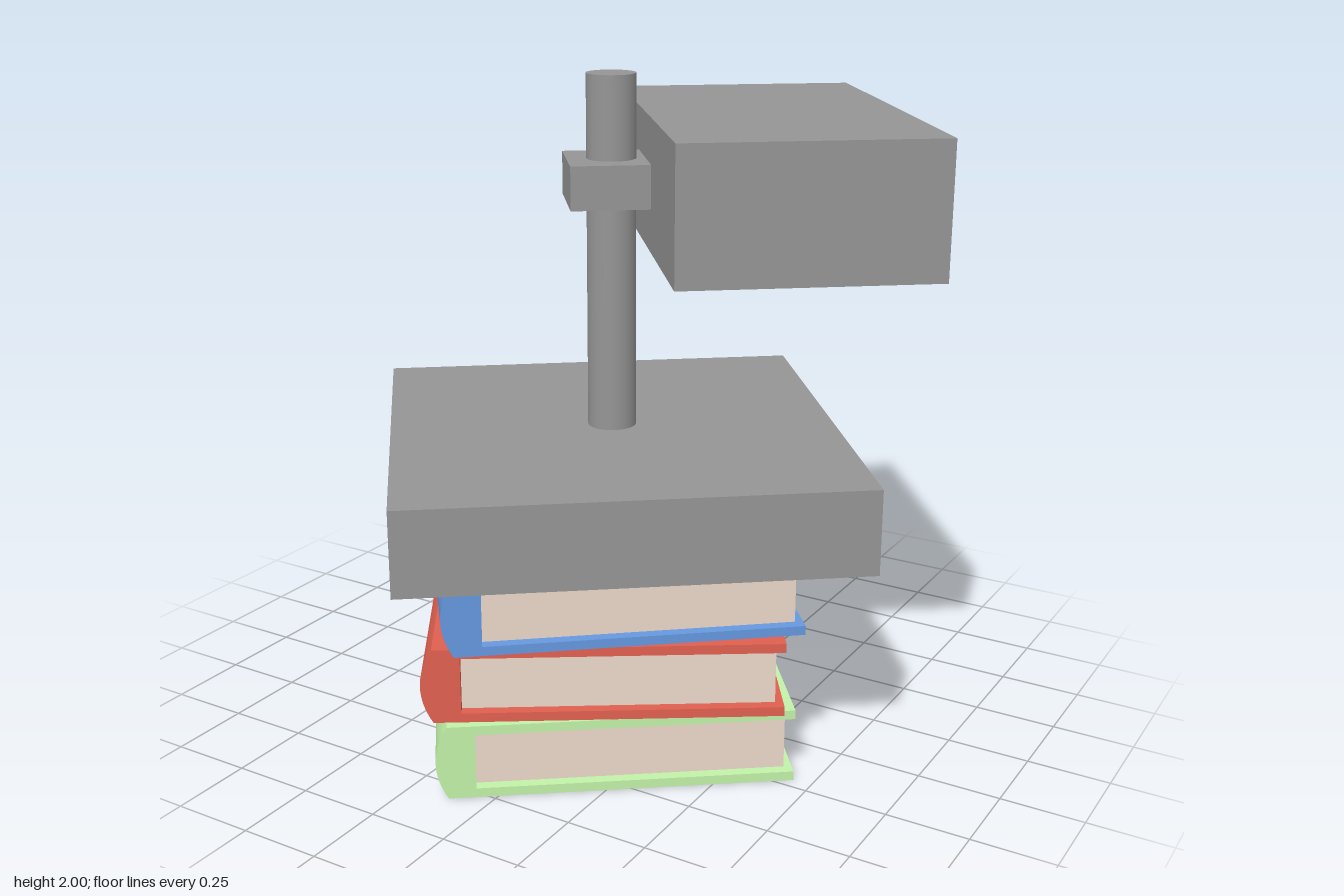
import * as THREE from 'three';
import { toCreasedNormals } from 'three/addons/utils/BufferGeometryUtils.js';

const paint = (color) => new THREE.MeshStandardMaterial({ color });
const darkGrey = paint(0x959595);
const paper = paint(0xecd8ca);

function add(parent, name, geometry, material, x = 0, y = 0, z = 0) {
  const mesh = new THREE.Mesh(geometry, material);
  mesh.name = name;
  mesh.position.set(x, y, z);
  parent.add(mesh);
  return mesh;
}

// Closed hardback: rounded spine on -x, two covers, page block inset on three sides
function makeBook(name, color) {
  const book = new THREE.Group();
  book.name = name;
  const material = paint(color);
  const w = 1.01, h = 0.228, d = 1.217;
  const cover = 0.028, spine = 0.08, foreInset = 0.024, endInset = 0.033;
  const left = -w / 2, inner = left + spine;

  const profile = new THREE.Shape();
  profile.moveTo(inner, 0);
  profile.lineTo(inner, h);
  profile.lineTo(left, h);
  profile.quadraticCurveTo(left - 0.07, h / 2, left, 0);
  profile.closePath();
  const spineGeometry = new THREE.ExtrudeGeometry(profile, { depth: d, bevelEnabled: false, curveSegments: 16 });
  add(book, 'spine', toCreasedNormals(spineGeometry, 0.5), material, 0, 0, -d / 2);

  for (const [part, y] of [['bottomCover', cover / 2], ['topCover', h - cover / 2]]) {
    add(book, part, new THREE.BoxGeometry(w - spine, cover, d), material, spine / 2, y, 0);
  }
  const pageWidth = w - spine - foreInset;
  add(book, 'pages', new THREE.BoxGeometry(pageWidth, h - 2 * cover, d - 2 * endInset), paper,
    inner + pageWidth / 2, h / 2, 0);
  return book;
}

// Head box with a round recess in its +z face, holding a dark lens
function makeHead() {
  const head = new THREE.Group();
  head.name = 'projectorHead';
  const w = 1.22, h = 0.393, d = 0.75, recess = 0.065;
  const lensX = 0.36, lensY = 0.013, lensR = 0.128;

  const face = new THREE.Shape();
  face.moveTo(-w / 2, -h / 2);
  face.lineTo(w / 2, -h / 2);
  face.lineTo(w / 2, h / 2);
  face.lineTo(-w / 2, h / 2);
  face.closePath();
  const hole = new THREE.Path();
  hole.absarc(lensX, lensY, lensR, 0, Math.PI * 2, true);
  face.holes.push(hole);
  const plate = new THREE.ExtrudeGeometry(face, { depth: recess, bevelEnabled: false, curveSegments: 32 });
  add(head, 'lensPlate', toCreasedNormals(plate, 0.5), darkGrey, 0, 0, d / 2 - recess);
  add(head, 'housing', new THREE.BoxGeometry(w, h, d - recess), darkGrey, 0, 0, -recess / 2);
  add(head, 'lens', new THREE.CircleGeometry(lensR, 32), paint(0x151f4e), lensX, lensY, d / 2 - recess + 0.002);
  return head;
}

export function createModel() {
  const model = new THREE.Group();
  model.name = 'projectorOnBooks';

  // Stack of books, each turned a little differently
  const books = [
    ['lowerBook', 0xc2f2a8, 0.645],
    ['middleBook', 0xe0604f, 0.583],
    ['upperBook', 0x6699e0, 0.69],
  ];
  books.forEach(([name, color, turn], i) => {
    const book = makeBook(name, color);
    book.position.set(-0.077, i * 0.2285, 0.03);
    book.rotation.y = turn;
    model.add(book);
  });

  // Stand: base slab, pole, clamp and head share one heading
  const stand = new THREE.Group();
  stand.name = 'stand';
  stand.position.set(-0.048, 0, 0.023);
  stand.rotation.y = 0.66;
  model.add(stand);
  add(stand, 'base', new THREE.BoxGeometry(1.358, 0.257, 1.358), darkGrey, 0, 0.802, 0);
  add(stand, 'pole', new THREE.CylinderGeometry(0.074, 0.074, 1.08, 32), darkGrey, 0, 1.46, 0);
  add(stand, 'clamp', new THREE.BoxGeometry(0.235, 0.13, 0.285), darkGrey, -0.016, 1.687, 0);

  const head = makeHead();
  head.position.set(0.475, 1.69, 0.005);
  head.rotation.y = Math.PI / 2;
  stand.add(head);
  return model;
}
